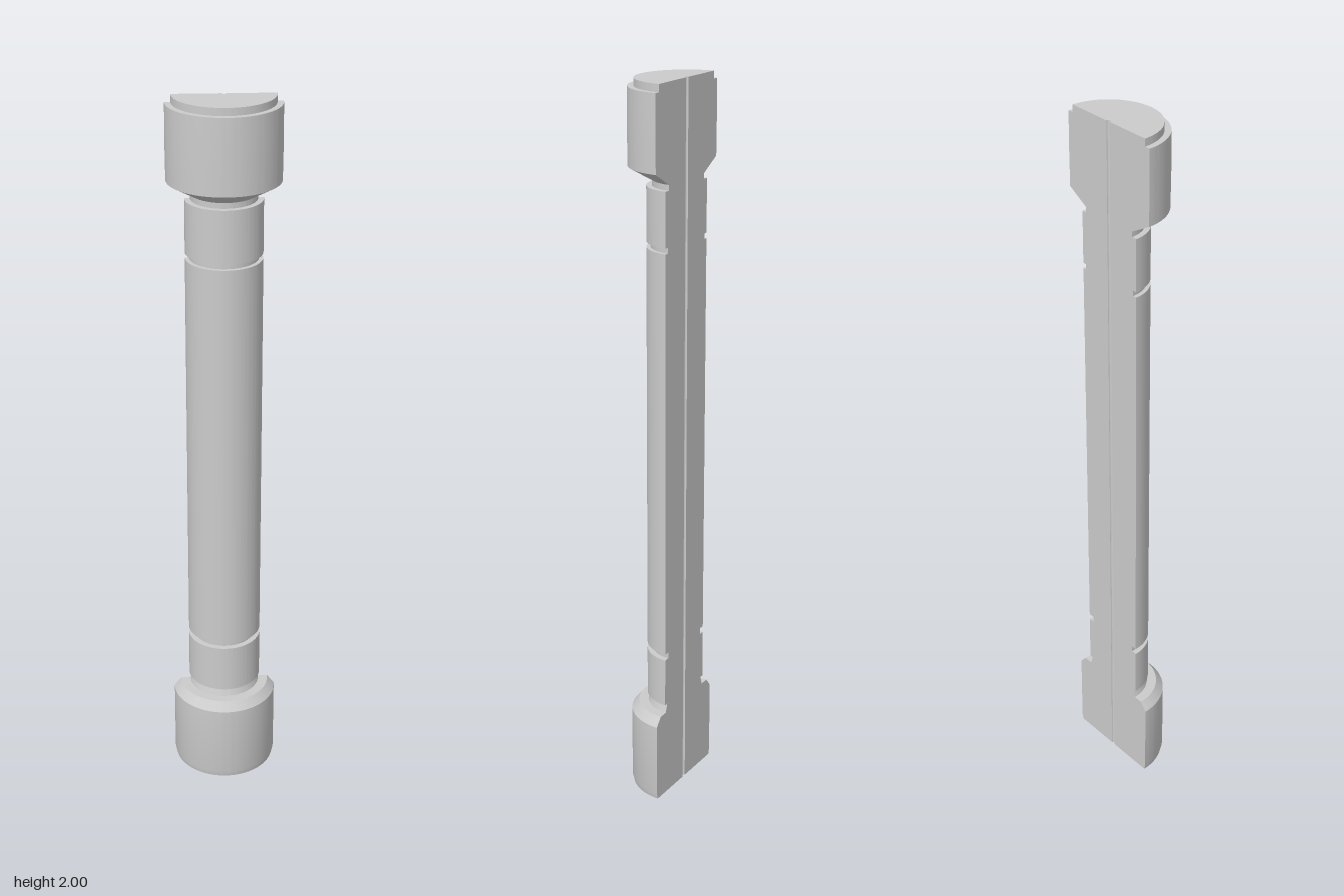
import * as THREE from 'three';
import { toCreasedNormals } from 'three/addons/utils/BufferGeometryUtils.js';

const BACK_Z = -0.075;
const GROOVE = 0.006;

// Half outline of the column, from the foot to the top: [radius, height]
const PROFILE = [
  [GROOVE, 0], [0.143, 0], [0.147, 0.018], [0.147, 0.23], [0.127, 0.255], // base
  [0.1, 0.255], [0.092, 0.28], [0.103, 0.28],                             // neck
  [0.103, 0.42], [0.087, 0.42], [0.087, 0.438], [0.103, 0.438],           // lower ring groove
  [0.103, 1.57], [0.092, 1.57], [0.092, 1.585], [0.103, 1.585],           // upper ring groove
  [0.103, 1.73], [0.088, 1.73], [0.088, 1.745],                           // collar
  [0.15, 1.78], [0.151, 1.89], [0.15, 1.98],                              // capital
  [0.134, 1.98], [0.134, 2], [GROOVE, 2],
].map(([r, y]) => new THREE.Vector2(r, y));

function halfLathe(points, segments) {
  const g = new THREE.LatheGeometry(points, segments, -Math.PI / 2, Math.PI);
  return toCreasedNormals(g, 0.3);
}

export function createModel() {
  const group = new THREE.Group();
  group.name = 'halfColumn';
  const material = new THREE.MeshStandardMaterial({ color: 0xcccccc, side: THREE.DoubleSide });

  const add = (name, geometry) => {
    const mesh = new THREE.Mesh(geometry, material);
    mesh.name = name;
    mesh.position.z = BACK_Z;
    group.add(mesh);
    return mesh;
  };

  // Rounded front with base, shaft and capital
  add('columnFront', halfLathe(PROFILE, 64));

  // Narrow channel along the middle of the back, wound inwards
  add('backChannel', halfLathe([new THREE.Vector2(GROOVE, 2), new THREE.Vector2(GROOVE, 0)], 10));

  // Flat back on either side of the channel, turned to face -z
  const half = new THREE.ShapeGeometry(new THREE.Shape(PROFILE));
  const mirrored = new THREE.ShapeGeometry(
    new THREE.Shape(PROFILE.map((p) => new THREE.Vector2(-p.x, p.y))));
  add('backLeft', mirrored).rotation.y = Math.PI;
  add('backRight', half).rotation.y = Math.PI;

  return group;
}
